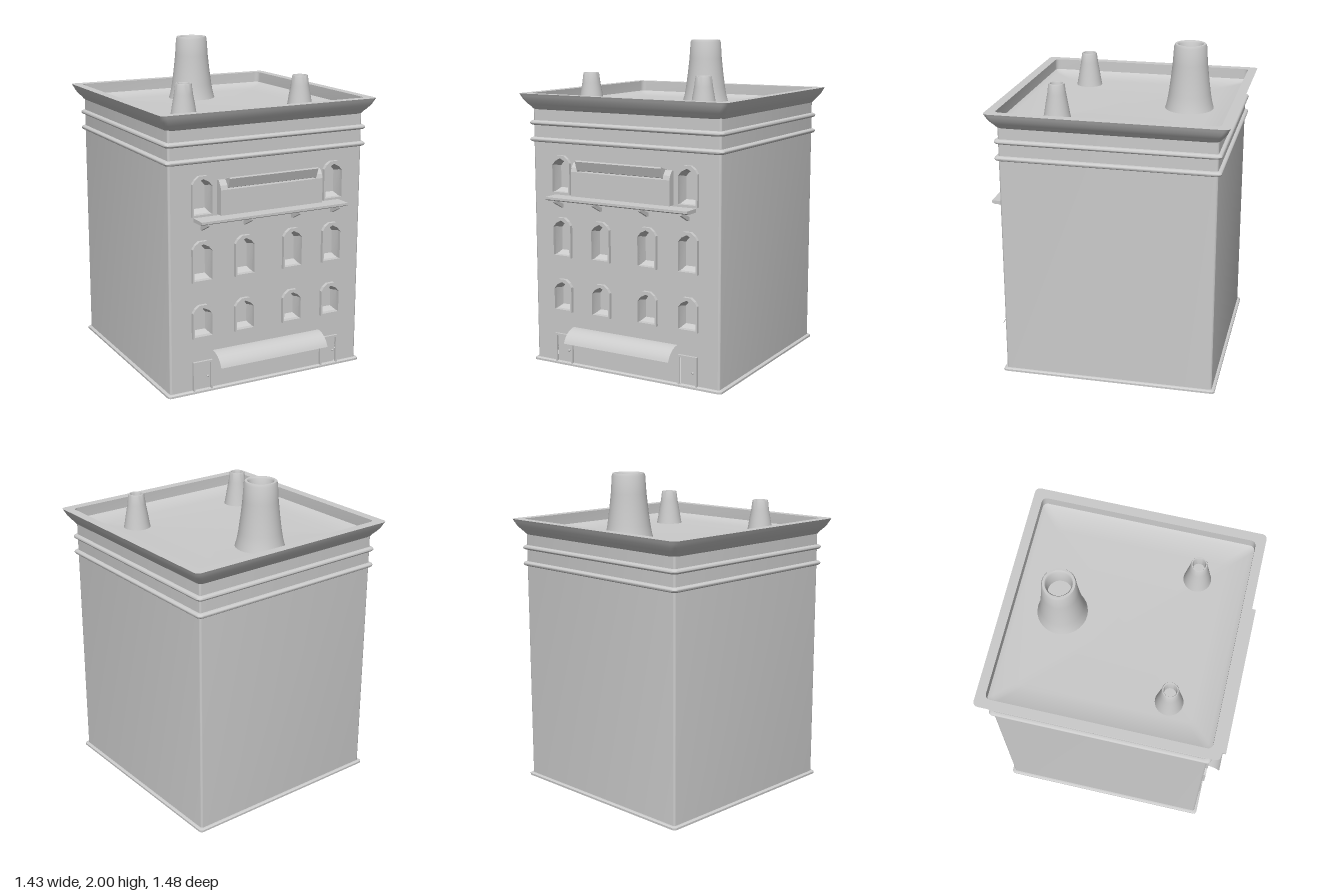
import * as THREE from 'three';
import { toCreasedNormals } from 'three/addons/utils/BufferGeometryUtils.js';

const mat = new THREE.MeshStandardMaterial({ color: 0xcccccc, side: THREE.DoubleSide });
const CZ = -0.02;      // depth centre of the building
const HALF = 0.65;     // half width of the walls
const FRONT = CZ + HALF;

function add(parent, name, geometry, x = 0, y = 0, z = 0) {
  const mesh = new THREE.Mesh(geometry, mat);
  mesh.name = name;
  mesh.position.set(x, y, z);
  parent.add(mesh);
  return mesh;
}

// Skin over a list of rings, each an array of Vector3
function loft(rings, closed = true, crease = 0.6) {
  const n = rings[0].length, index = [];
  for (let j = 0; j < rings.length - 1; j++) {
    for (let i = 0; i < (closed ? n : n - 1); i++) {
      const a = j * n + i, b = j * n + (i + 1) % n;
      index.push(a, a + n, b, b, a + n, b + n);
    }
  }
  const g = new THREE.BufferGeometry().setFromPoints(rings.flat());
  g.setIndex(index);
  return toCreasedNormals(g, crease);
}

// Rounded square ring; it starts and ends at the front corners
function squareRing(half, y, radius) {
  const r = Math.min(radius, half), pts = [];
  for (const k of [1, 2, 3, 0]) {
    const mid = (k + 0.5) * Math.PI / 2;
    const cx = Math.sign(Math.cos(mid)) * (half - r), cz = Math.sign(Math.sin(mid)) * (half - r);
    for (let i = 0; i <= 4; i++) {
      const a = (k + i / 4) * Math.PI / 2;
      pts.push(new THREE.Vector3(cx + r * Math.cos(a), y, CZ + cz + r * Math.sin(a)));
    }
  }
  return pts;
}
const squareLoft = (profile, radius, closed = true) =>
  loft(profile.map(([h, y]) => squareRing(h, y, radius)), closed);

const points = list => list.map(([x, y]) => new THREE.Vector2(x, y));
const shifted = (pts, x, y) => pts.map(p => new THREE.Vector2(p.x + x, p.y + y));

function frameGeometry(outer, hole, depth) {
  const s = new THREE.Shape(outer);
  s.holes.push(new THREE.Path(hole));
  return new THREE.ExtrudeGeometry(s, { depth, bevelEnabled: false });
}

// Side profile [z, y] extruded across the width
function sideExtrude(profile, width) {
  const s = new THREE.Shape(profile.map(([z, y]) => new THREE.Vector2(-z, y)));
  const g = new THREE.ExtrudeGeometry(s, { depth: width, bevelEnabled: false });
  return g.translate(0, 0, -width / 2).rotateY(Math.PI / 2);
}

// Pointed-arch window: frame, tapered reveal and pane
function addWindow(parent, x, y, h, holes) {
  const w = new THREE.Group();
  w.name = 'window';
  w.position.set(x, y, FRONT);
  parent.add(w);
  const outer = points([[-0.068, 0], [0.068, 0], [0.068, h - 0.045], [0.052, h - 0.02],
    [0.025, h], [-0.025, h], [-0.052, h - 0.02], [-0.068, h - 0.045]]);
  const open = points([[-0.058, 0.012], [0.058, 0.012], [0.058, h - 0.062],
    [0.036, h - 0.035], [0, h - 0.017], [-0.036, h - 0.035], [-0.058, h - 0.062]]);
  const pane = open.map(p => new THREE.Vector2(p.x * 0.8, h / 2 + (p.y - h / 2) * 0.82));
  add(w, 'windowFrame', frameGeometry(outer, open, 0.022));
  const at = (pts, z) => pts.map(p => new THREE.Vector3(p.x, p.y, z));
  add(w, 'windowReveal', loft([at(open, 0.022), at(open, -0.01), at(pane, -0.055)], true, 0.3));
  add(w, 'windowPane', new THREE.ShapeGeometry(new THREE.Shape(pane)), 0, 0, -0.055);
  holes.push(shifted(open, x, y));
}

function addDoor(parent, x, holes) {
  const d = new THREE.Group();
  d.name = 'door';
  d.position.set(x, 0, FRONT);
  parent.add(d);
  const rect = (w, y0, y1) => points([[-w, y0], [w, y0], [w, y1], [-w, y1]]);
  const open = rect(0.052, 0.015, 0.183);
  add(d, 'doorFrame', frameGeometry(rect(0.064, 0.005, 0.196), open, 0.015));
  add(d, 'doorLeaf', new THREE.BoxGeometry(0.104, 0.168, 0.02), 0, 0.099, -0.012);
  add(d, 'doorKnob', new THREE.SphereGeometry(0.007, 12, 8), 0.034, 0.095, 0.006);
  holes.push(open.map(p => new THREE.Vector2(p.x + x, p.y)));
}

// Tapered, hollow-topped chimney
function addChimney(parent, name, x, z, profile) {
  const g = new THREE.LatheGeometry(points(profile), 32);
  add(parent, name, toCreasedNormals(g, 0.7), x, 0, z);
}

export function createModel() {
  const root = new THREE.Group();
  root.name = 'building';
  const holes = [];

  // Windows and doors
  const columns = [-0.44, -0.16, 0.167, 0.443];
  for (const x of columns) {
    addWindow(root, x, 0.345, 0.205, holes);
    addWindow(root, x, 0.69, 0.248, holes);
  }
  for (const x of [columns[0], columns[3]]) {
    addWindow(root, x, 1.085, 0.238, holes);
    addDoor(root, x, holes);
  }

  // Front wall with openings, and the other three walls, open below
  const e = HALF - 0.012;
  const wall = new THREE.Shape(points([[-e, 0], [e, 0], [e, 1.61], [-e, 1.61]]));
  for (const h of holes) wall.holes.push(new THREE.Path(h));
  add(root, 'frontWall', new THREE.ShapeGeometry(wall), 0, 0, FRONT);
  add(root, 'walls', squareLoft([[HALF, 0], [HALF, 1.61]], 0.012, false));

  // Plinth and moulded string courses
  add(root, 'plinth', squareLoft([[0.645, 0], [0.668, 0], [0.668, 0.012], [0.66, 0.018], [0.648, 0.018]], 0.02));
  for (const y of [1.41, 1.513]) {
    const band = [];
    for (let i = 0; i <= 8; i++) {
      const a = (i / 8 - 0.5) * Math.PI;
      band.push([0.652 + 0.02 * Math.cos(a), y + 0.015 * Math.sin(a)]);
    }
    add(root, 'stringCourse', squareLoft([[0.645, y - 0.015], ...band, [0.645, y + 0.015]], 0.025));
  }

  // Flared cornice, parapet and sunken roof
  add(root, 'corniceAndRoof', squareLoft([[0.65, 1.595], [0.66, 1.602], [0.668, 1.615], [0.68, 1.628],
    [0.698, 1.652], [0.71, 1.678], [0.717, 1.693], [0.66, 1.693], [0.66, 1.625], [0.635, 1.61],
    [0.51, 1.6], [0.001, 1.6]], 0.03));

  // Chimneys
  addChimney(root, 'largeChimney', 0, -0.395, [[0.15, 1.6], [0.139, 1.64], [0.13, 1.69], [0.118, 1.78],
    [0.107, 1.88], [0.1, 1.985], [0.094, 2], [0.08, 2], [0.073, 1.99], [0.07, 1.88], [0, 1.88]]);
  for (const x of [-0.412, 0.382]) {
    addChimney(root, 'smallChimney', x, 0.342, [[0.083, 1.6], [0.075, 1.64], [0.067, 1.69], [0.056, 1.75],
      [0.049, 1.805], [0.046, 1.812], [0.04, 1.812], [0.037, 1.805], [0.036, 1.74], [0, 1.74]]);
  }

  // Curved awning over the shop front
  const arc = [];
  for (let i = 0; i <= 10; i++) {
    const a = i / 10 * 1.25;
    arc.push([0.63 + 0.118 * Math.sin(a), 0.137 + 0.113 * Math.cos(a)]);
  }
  const across = x => arc.map(([z, y]) => new THREE.Vector3(x, y, z));
  add(root, 'awning', loft([across(-0.37), across(0.37)], false));

  // Balcony ledge on struts
  add(root, 'balconyLedge', sideExtrude([[0.625, 1.055], [0.722, 1.055], [0.738, 1.063], [0.738, 1.077], [0.625, 1.077]], 0.985));
  for (const x of columns) {
    add(root, 'balconyStrut', sideExtrude([[0.625, 1.002], [0.64, 1.002], [0.725, 1.045],
      [0.725, 1.056], [0.71, 1.056], [0.625, 1.022]], 0.014), x);
  }

  // Wide panel with end blocks and a tilted board above it
  add(root, 'panel', new THREE.BoxGeometry(0.685, 0.15, 0.055), 0.002, 1.16, 0.6525);
  for (const s of [-1, 1]) {
    add(root, 'panelEnd', sideExtrude([[0.625, 1.23], [0.68, 1.235], [0.672, 1.26], [0.65, 1.288], [0.625, 1.288]], 0.045), 0.002 + s * 0.32);
  }
  add(root, 'tiltedBoard', sideExtrude([[0.67, 1.242], [0.682, 1.246], [0.702, 1.302], [0.698, 1.31], [0.645, 1.292], [0.625, 1.292], [0.625, 1.242]], 0.595), 0.002);

  return root;
}
